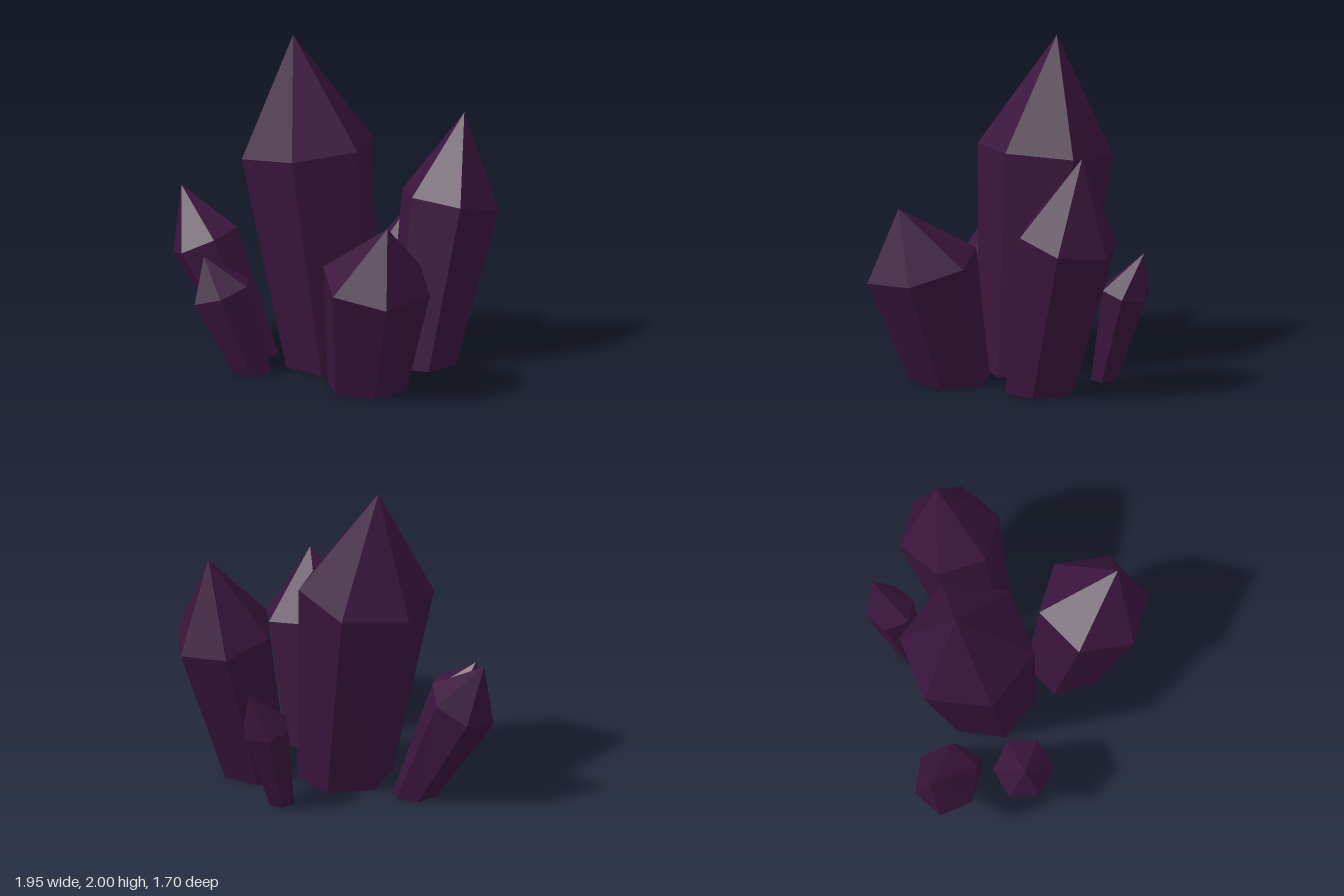
import * as THREE from 'three';

const SIDES = 6;

// One leaning crystal: flat six-sided foot on the ground, a wider shoulder ring
// tilted square to the lean, and a pointed tip.
// foot: [x, z, radius], shoulder: [x, y, z, radius], tip: [x, y, z], turn in degrees
function crystalGeometry({ foot, shoulder, tip, turn }) {
  const [fx, fz, fr] = foot;
  const [sx, sy, sz, sr] = shoulder;
  const leanX = (sx - fx) / sy;
  const leanZ = (sz - fz) / sy;
  const low = [];
  const high = [];
  for (let i = 0; i < SIDES; i++) {
    const a = THREE.MathUtils.degToRad(turn) + (i / SIDES) * Math.PI * 2;
    const c = Math.cos(a);
    const s = Math.sin(a);
    low.push([fx + fr * c, 0, fz + fr * s]);
    high.push([sx + sr * c, sy - sr * (leanX * c + leanZ * s), sz + sr * s]);
  }
  const positions = [];
  const tri = (...corners) => corners.forEach((p) => positions.push(...p));
  for (let i = 0; i < SIDES; i++) {
    const j = (i + 1) % SIDES;
    tri(low[i], high[i], high[j]); // side facet
    tri(low[i], high[j], low[j]);
    tri(high[i], tip, high[j]); // tip facet
    tri([fx, 0, fz], low[i], low[j]); // underside
  }
  const geometry = new THREE.BufferGeometry();
  geometry.setAttribute('position', new THREE.Float32BufferAttribute(positions, 3));
  geometry.computeVertexNormals();
  return geometry;
}

const CRYSTALS = {
  mainCrystal: {
    foot: [-0.033, -0.17, 0.29], shoulder: [-0.178, 1.31, -0.31, 0.412],
    tip: [-0.26, 2, -0.39], turn: 45,
  },
  leftCrystal: {
    foot: [0.505, -0.17, 0.22], shoulder: [0.685, 0.975, -0.315, 0.307],
    tip: [0.77, 1.5, -0.385], turn: 21,
  },
  frontCrystal: {
    foot: [0.16, 0.325, 0.25], shoulder: [0.21, 0.725, 0.505, 0.342],
    tip: [0.27, 1.1, 0.655], turn: 22,
  },
  backRightCrystal: {
    foot: [-0.48, -0.38, 0.138], shoulder: [-0.785, 0.675, -0.505, 0.2],
    tip: [-0.925, 0.99, -0.62], turn: 17,
  },
  frontRightCrystal: {
    foot: [-0.52, -0.02, 0.125], shoulder: [-0.705, 0.5, -0.03, 0.182],
    tip: [-0.81, 0.72, -0.03], turn: 34,
  },
  backLeftCrystal: {
    foot: [0.305, -0.59, 0.085], shoulder: [0.385, 0.55, -0.71, 0.148],
    tip: [0.475, 0.82, -0.81], turn: 18,
  },
};

export function createModel() {
  const group = new THREE.Group();
  group.name = 'crystalCluster';
  const material = new THREE.MeshStandardMaterial({ color: 0x3a143c, flatShading: true });
  for (const [name, spec] of Object.entries(CRYSTALS)) {
    const mesh = new THREE.Mesh(crystalGeometry(spec), material);
    mesh.name = name;
    group.add(mesh);
  }
  return group;
}
